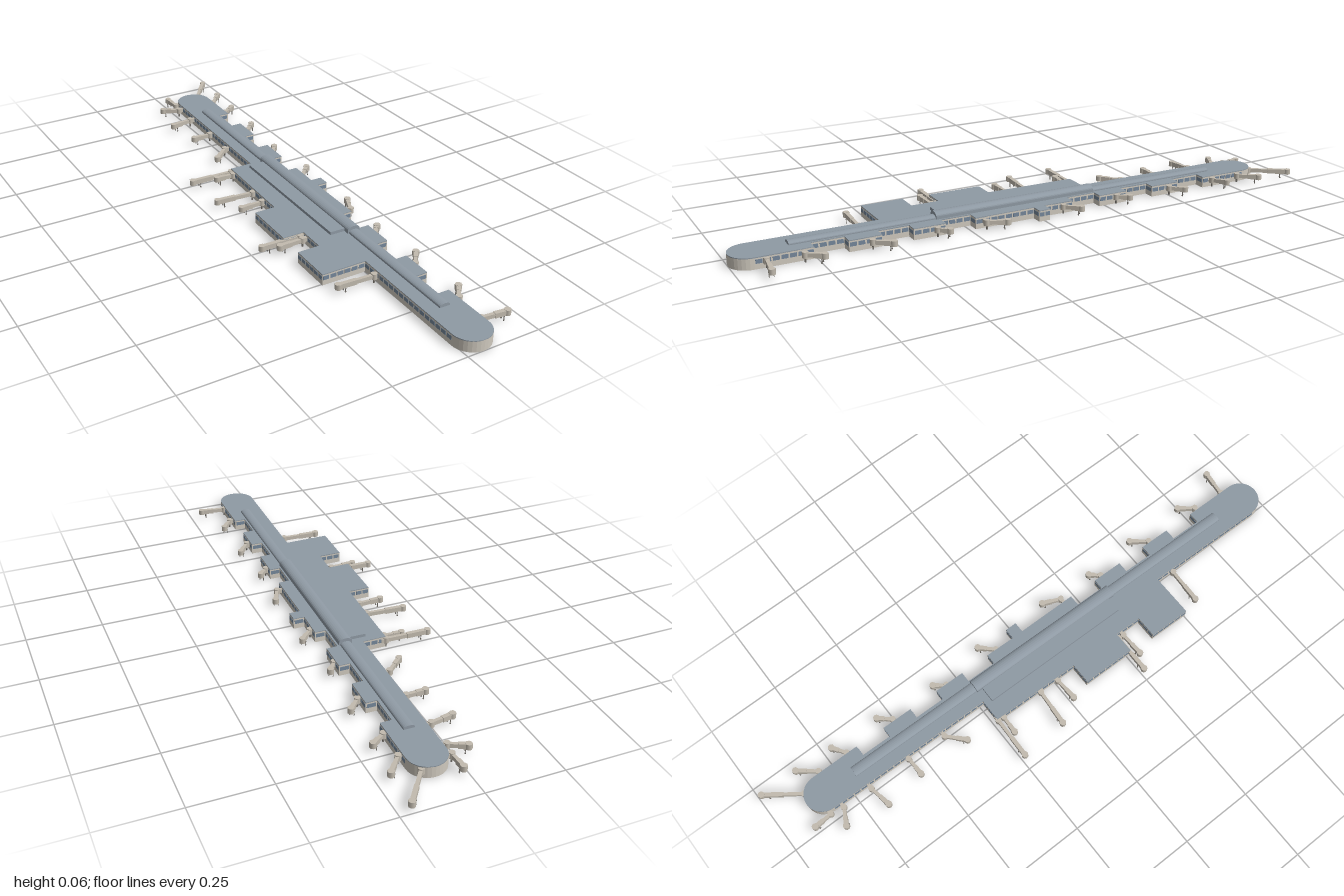
import * as THREE from 'three';
import { mergeGeometries } from 'three/addons/utils/BufferGeometryUtils.js';

const mat = (name, color, side = THREE.FrontSide) => {
  const m = new THREE.MeshStandardMaterial({ color, side });
  m.name = name;
  return m;
};

export function createModel() {
  const roofMat = mat('slate roof', 0x8f9aa4);
  const wallMat = mat('warm wall', 0xcfc9be, THREE.DoubleSide);
  const glassMat = mat('window glass', 0x75879a);
  const bridgeMat = mat('bridge cladding', 0xc2bbaf);
  const legMat = mat('bridge legs', 0x77736d);

  const model = new THREE.Group();
  model.name = 'airportConcourse';
  const add = (parent, name, geo, material, x = 0, y = 0, z = 0) => {
    const m = new THREE.Mesh(geo, material);
    m.name = name;
    m.position.set(x, y, z);
    parent.add(m);
    return m;
  };
  const box = (w, h, d) => new THREE.BoxGeometry(w, h, d);

  // Footprint as x, z pairs: down the left edge, round the near end, up the gates
  const arc = (cx, cz, r, from) => Array.from({ length: 17 }, (_, i) => {
    const a = from - (Math.PI * i) / 16;
    return [cx + r * Math.cos(a), cz + r * Math.sin(a)];
  });
  const westEdge = [
    [0.018, -0.235], [-0.06, -0.235], [-0.068, 0.08], [-0.14, 0.08], [-0.143, 0.265],
    [-0.07, 0.265], [-0.072, 0.36], [-0.148, 0.36], [-0.151, 0.505], [0.001, 0.505],
  ];
  const eastEdge = [
    [0.121, 0.757], [0.083, 0.757], [0.085, 0.65], [0.124, 0.65], [0.126, 0.543], [0.088, 0.543],
    [0.09, 0.44], [0.128, 0.44], [0.13, 0.332], [0.094, 0.332], [0.096, 0.23], [0.134, 0.23],
    [0.136, 0.02], [0.173, 0.02], [0.173, -0.02], [0.136, -0.02], [0.139, -0.125], [0.103, -0.125],
    [0.105, -0.23], [0.141, -0.23], [0.143, -0.335], [0.107, -0.335], [0.109, -0.44], [0.145, -0.44],
    [0.147, -0.547], [0.111, -0.547], [0.113, -0.653], [0.15, -0.653],
  ];
  const outline = [
    ...westEdge,
    ...arc(0.056, 0.937, 0.063, Math.PI),
    ...eastEdge,
    ...arc(0.09, -0.827, 0.062, 0),
  ];

  // Roof slab
  const roofTop = 0.038;
  const roofGeo = new THREE.ExtrudeGeometry(
    new THREE.Shape(outline.map(([x, z]) => new THREE.Vector2(x, z))),
    { depth: 0.003, bevelEnabled: false });
  roofGeo.rotateX(Math.PI / 2);
  add(model, 'roof', roofGeo, roofMat, 0, roofTop, 0);

  // Perimeter walls, open underneath, with panes along every straight run
  const wallPos = [], panes = [], h = roofTop - 0.002;
  outline.forEach(([ax, az], i) => {
    const [bx, bz] = outline[(i + 1) % outline.length];
    wallPos.push(ax, 0, az, bx, 0, bz, bx, h, bz, ax, 0, az, bx, h, bz, ax, h, az);
    const dx = bx - ax, dz = bz - az, len = Math.hypot(dx, dz);
    if (len < 0.03) return;
    const n = Math.max(1, Math.round(len / 0.026)), pitch = len / n;
    for (let k = 0; k < n; k++) {
      const t = (k + 0.5) / n;
      const g = box(pitch * 0.8, 0.013, 0.001);
      g.rotateY(-Math.atan2(dz, dx));
      g.translate(ax + dx * t - (dz / len) * 0.0005, 0.024, az + dz * t + (dx / len) * 0.0005);
      panes.push(g);
    }
  });
  const wallGeo = new THREE.BufferGeometry();
  wallGeo.setAttribute('position', new THREE.Float32BufferAttribute(wallPos, 3));
  wallGeo.computeVertexNormals();
  add(model, 'walls', wallGeo, wallMat);
  add(model, 'windows', mergeGeometries(panes), glassMat);

  // Arched roof lights following the slightly skewed spine
  const spineX = (z) => 0.0725 - 0.0177 * z;
  const vault = (name, z0, z1, width, base, rise) => {
    const s = new THREE.Shape();
    s.moveTo(-width / 2, 0);
    s.lineTo(width / 2, 0);
    for (let i = 0; i <= 10; i++) {
      const a = (Math.PI * i) / 10;
      s.lineTo((Math.cos(a) * width) / 2, base + rise * Math.sin(a));
    }
    const dx = spineX(z1) - spineX(z0);
    const g = new THREE.ExtrudeGeometry(s, { depth: Math.hypot(dx, z1 - z0), bevelEnabled: false });
    add(model, name, g, roofMat, spineX(z0), roofTop, z0).rotation.y = Math.atan2(dx, z1 - z0);
  };
  vault('longRoofVault', -0.71, 0.82, 0.036, 0.003, 0.008);
  vault('centralRoofVault', -0.23, 0.345, 0.044, 0.01, 0.012);
  add(model, 'raisedHallRoof', box(0.054, 0.01, 0.535), roofMat, 0.023, roofTop + 0.005, 0.057)
    .rotation.y = -0.012;

  // Boarding bridge: pivot drum, telescoping tunnel, cab and wheeled legs
  const drumGeo = new THREE.CylinderGeometry(0.01, 0.01, 0.019, 12);
  const cabGeo = new THREE.CylinderGeometry(0.011, 0.011, 0.018, 8);
  const columnGeo = new THREE.CylinderGeometry(0.003, 0.003, 0.015, 8);
  const legGeo = box(0.002, 0.015, 0.002);
  const wheelGeo = new THREE.CylinderGeometry(0.0025, 0.0025, 0.002, 8).rotateZ(Math.PI / 2);
  const bridge = ([ax, az, bx, bz]) => {
    const g = new THREE.Group();
    g.name = 'boardingBridge';
    g.position.set(ax, 0, az);
    const angle = Math.atan2(bx - ax, bz - az);
    const len = Math.hypot(bx - ax, bz - az);
    g.rotation.y = angle;
    add(g, 'pivotDrum', drumGeo, bridgeMat, 0, 0.0235, 0);
    add(g, 'pivotColumn', columnGeo, legMat, 0, 0.0075, 0);
    add(g, 'innerTunnel', box(0.011, 0.013, len * 0.55), bridgeMat, 0, 0.0235, len * 0.275);
    add(g, 'outerTunnel', box(0.014, 0.016, len * 0.5), bridgeMat, 0, 0.0235, len * 0.73);
    add(g, 'cab', cabGeo, bridgeMat, 0, 0.0235, len - 0.004);
    add(g, 'axleBeam', box(0.018, 0.002, 0.003), legMat, 0, 0.0145, len * 0.8);
    for (const s of [-1, 1]) {
      add(g, 'leg', legGeo, legMat, s * 0.007, 0.0075, len * 0.8);
      add(g, 'wheel', wheelGeo, legMat, s * 0.007, 0.0025, len * 0.8);
    }
    // Short link back to the building
    const side = ax < 0.07 ? 1 : -1;
    add(model, 'bridgeLink', box(0.02, 0.014, 0.011), bridgeMat, ax + side * 0.008, 0.0235, az);
    model.add(g);
  };
  // Each entry: drum x, z, then cab x, z
  [
    [0.02, -0.845, 0.016, -0.912], [0.012, -0.8, -0.046, -0.83], [0.008, -0.695, -0.072, -0.68],
    [0.014, -0.542, -0.055, -0.54], [0.004, -0.405, -0.055, -0.35], [-0.063, -0.233, -0.213, -0.236],
    [-0.065, -0.212, -0.13, -0.215], [-0.072, -0.062, -0.204, -0.071], [-0.075, 0.008, -0.157, 0.013],
    [-0.085, 0.264, -0.223, 0.262], [-0.085, 0.284, -0.172, 0.287], [-0.01, 0.569, -0.137, 0.563],
  ].forEach(bridge);
  [
    [0.128, -0.875, 0.212, -0.99], [0.161, -0.797, 0.211, -0.858], [0.156, -0.69, 0.204, -0.722],
    [0.156, -0.505, 0.195, -0.548], [0.143, -0.295, 0.172, -0.335], [0.142, -0.088, 0.188, -0.135],
    [0.152, 0.2, 0.18, 0.135], [0.136, 0.363, 0.167, 0.33], [0.135, 0.578, 0.178, 0.522],
    [0.134, 0.79, 0.172, 0.738], [0.121, 0.902, 0.213, 0.913],
  ].forEach(bridge);
  add(model, 'gateDrum', drumGeo, bridgeMat, 0.164, 0.0235, 0.006);

  return model;
}
